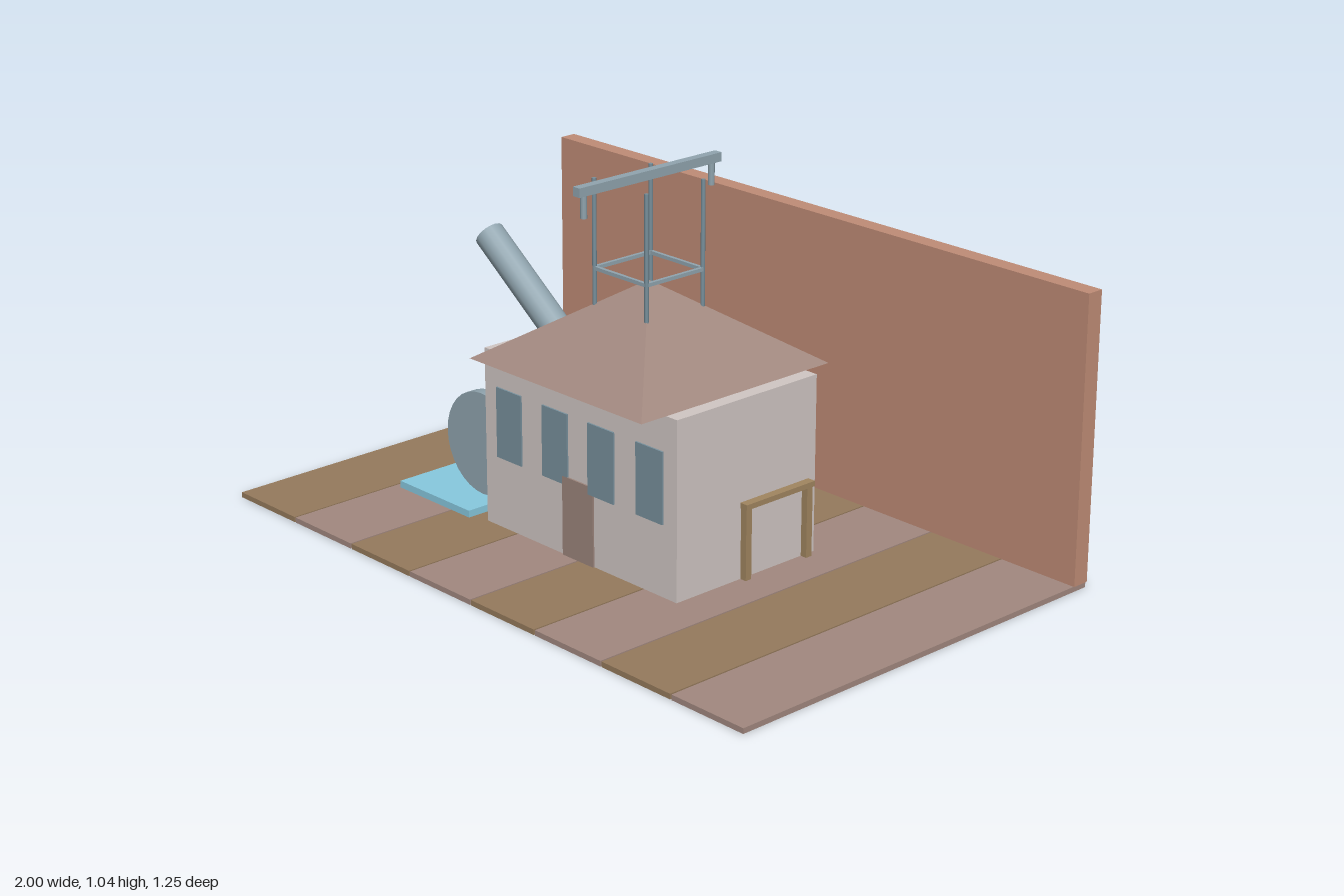
import * as THREE from 'three';

const mat = (color) => new THREE.MeshStandardMaterial({ color });
const M = {
  plankTan: mat(0x957a5c), plankBrown: mat(0xa1887f), brick: mat(0xbf8c76),
  plaster: mat(0xd0c6c3), roof: mat(0xa1887f), window: mat(0x78909c),
  door: mat(0x9c857c), steel: mat(0x78909c), lightSteel: mat(0x90a4ae),
  water: mat(0x87c8de), wood: mat(0xa08560),
};

export function createModel() {
  const model = new THREE.Group();

  const add = (name, geometry, material, x, y, z) => {
    const mesh = new THREE.Mesh(geometry, material);
    mesh.name = name;
    mesh.position.set(x, y, z);
    model.add(mesh);
    return mesh;
  };
  // Box given by its size, the height of its underside and its centre
  const box = (name, material, w, h, d, x, y, z) =>
    add(name, new THREE.BoxGeometry(w, h, d), material, x, y + h / 2, z);

  const floorTop = 0.015;

  // Plank floor in alternating colours
  for (let i = 0; i < 8; i++) {
    box('floorPlank', i % 2 ? M.plankBrown : M.plankTan, 0.245, floorTop, 1.245, -0.875 + i * 0.25, 0, 0);
  }

  // Rear wall
  box('backWall', M.brick, 2, 0.8, 0.05, 0, floorTop, -0.6);

  // House with pyramid roof
  box('houseBody', M.plaster, 0.75, 0.5, 0.5, 0, floorTop, 0);
  const roof = new THREE.ConeGeometry(0.335 * Math.SQRT2, 0.225, 4).toNonIndexed();
  roof.rotateY(Math.PI / 4);
  roof.computeVertexNormals();
  add('roof', roof, M.roof, 0, 0.515 + 0.1125, 0);

  // Front windows and door
  for (const x of [-0.275, -0.09, 0.09, 0.275]) {
    box('window', M.window, 0.1, 0.2, 0.01, x, 0.217, 0.25);
  }
  box('door', M.door, 0.12, 0.225, 0.01, 0, floorTop, 0.25);

  // Wooden frames against both side walls
  for (const side of [-1, 1]) {
    for (const z of [0.012, -0.212]) {
      box('frameLeg', M.wood, 0.02, 0.2, 0.02, side * 0.385, floorTop, z);
    }
    box('frameTop', M.wood, 0.03, 0.015, 0.25, side * 0.385, 0.215, -0.1);
  }

  // Pool and upright wheel
  box('pool', M.water, 0.3, 0.02, 0.55, -0.575, floorTop, 0);
  const wheel = add('wheel', new THREE.CylinderGeometry(0.148, 0.148, 0.033, 32), M.lightSteel, -0.475, 0.193, 0.167);
  wheel.rotation.x = Math.PI / 2;

  // Slanting pipe rising out of the house
  const tilt = THREE.MathUtils.degToRad(36.5);
  const pipeLength = 0.5;
  const pipe = add('slantedPipe', new THREE.CylinderGeometry(0.043, 0.043, pipeLength, 16), M.lightSteel,
    -0.648 + Math.cos(tilt) * pipeLength / 2, 0.718 - Math.sin(tilt) * pipeLength / 2, 0);
  pipe.rotation.z = Math.PI / 2 - tilt;

  // Roof tower: four posts tied by a square of braces
  const post = new THREE.CylinderGeometry(0.006, 0.006, 0.5, 8);
  for (const a of [-0.1, 0.1]) {
    for (const b of [-0.1, 0.1]) add('towerPost', post, M.steel, a, 0.765, b);
    box('towerBrace', M.lightSteel, 0.2, 0.01, 0.01, 0, 0.766, a);
    box('towerBrace', M.lightSteel, 0.01, 0.01, 0.2, a, 0.766, 0);
  }

  // Overhead beam with a short hanger near each end
  box('overheadBeam', M.lightSteel, 0.025, 0.025, 0.5, 0, 1.015, 0);
  const hanger = new THREE.CylinderGeometry(0.009, 0.009, 0.065, 8);
  for (const z of [-0.225, 0.225]) add('beamHanger', hanger, M.lightSteel, 0, 0.986, z);

  return model;
}
